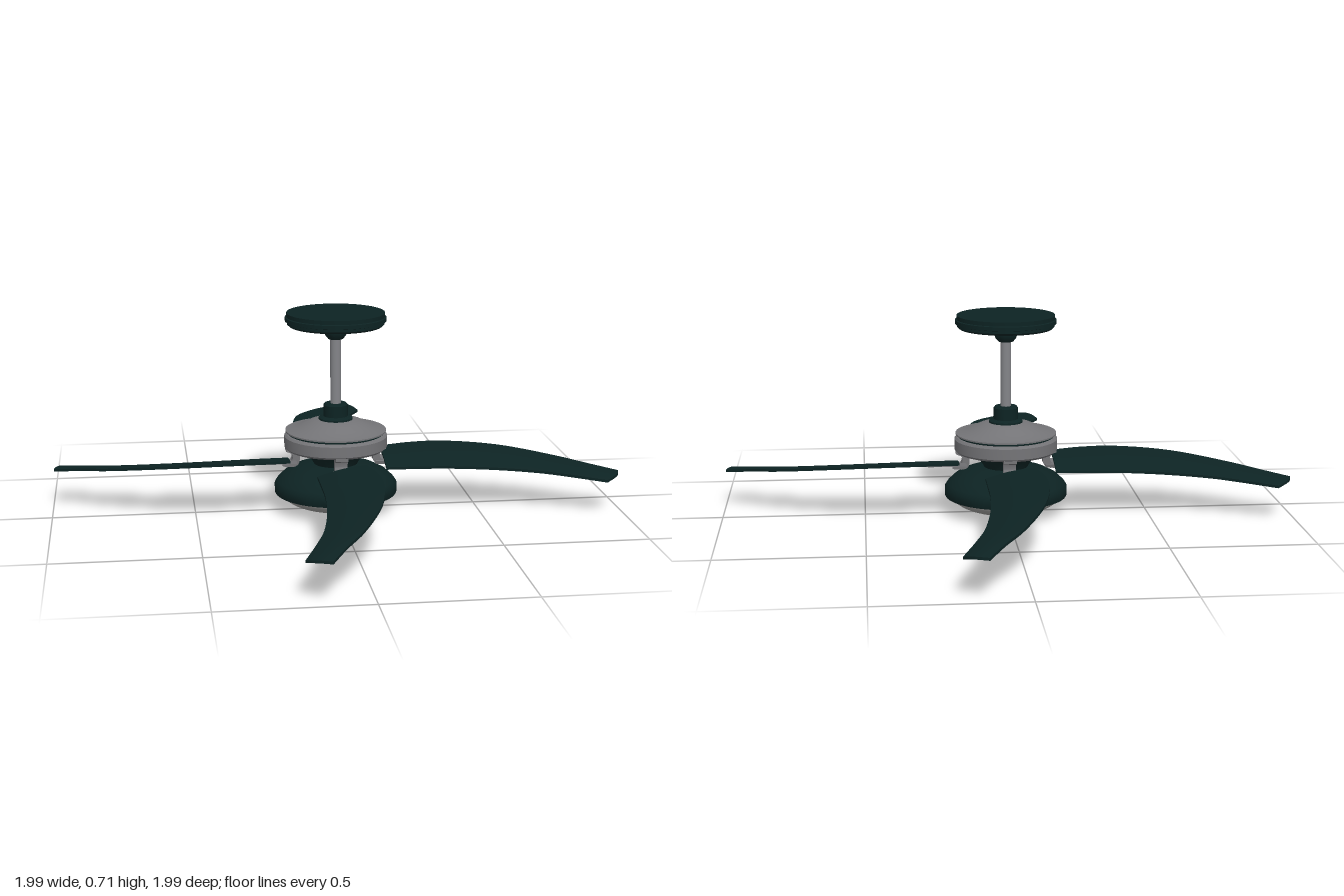
import * as THREE from 'three';
import { toCreasedNormals } from 'three/addons/utils/BufferGeometryUtils.js';

const mat = (name, color, side = THREE.FrontSide) => {
  const m = new THREE.MeshStandardMaterial({ color, side });
  m.name = name;
  return m;
};

function add(parent, name, geometry, material) {
  const mesh = new THREE.Mesh(geometry, material);
  mesh.name = name;
  parent.add(mesh);
  return mesh;
}

// Turned part from [radius, height] pairs, listed bottom to top
function turned(profile, segments = 64) {
  const pts = profile.map(([r, y]) => new THREE.Vector2(r, y));
  return toCreasedNormals(new THREE.LatheGeometry(pts, segments), 0.6);
}

const curve = (pts) => new THREE.CatmullRomCurve3(pts.map((p) => new THREE.Vector3(...p)));

// Swept, pitched blade pointing along +x, lofted between two edge curves
function bladeGeometry() {
  const high = curve([[0.17, 0.2, -0.085], [0.28, 0.204, -0.105], [0.4, 0.204, -0.11], [0.6, 0.192, -0.075],
    [0.8, 0.167, 0.015], [0.9, 0.153, 0.08], [0.995, 0.139, 0.135]]);
  const low = curve([[0.17, 0.165, 0.085], [0.28, 0.164, 0.085], [0.4, 0.161, 0.086], [0.56, 0.154, 0.1],
    [0.72, 0.144, 0.13], [0.82, 0.136, 0.165], [0.935, 0.126, 0.212]]);
  const N = 32, M = 8, ring = 2 * (M + 1), thick = 0.009;
  const pos = [], idx = [];
  for (let i = 0; i <= N; i++) {
    const t = i / N, a = high.getPoint(t), b = low.getPoint(t);
    const row = [];
    for (let j = 0; j <= M; j++) {
      const v = j / M, s = Math.sin(Math.PI * v);
      const p = a.clone().lerp(b, v);
      const bulge = 0.014 * s * Math.pow(t, 14);
      row.push([p.x + 0.8 * bulge, p.y + 0.006 * s, p.z + 0.6 * bulge]);
    }
    row.forEach((p) => pos.push(...p));
    row.reverse().forEach(([x, y, z]) => pos.push(x, y - thick, z));
  }
  for (let i = 0; i < N; i++) {
    for (let j = 0; j < ring; j++) {
      const a = i * ring + j, b = i * ring + (j + 1) % ring;
      idx.push(a, b, a + ring, b, b + ring, a + ring);
    }
  }
  // Root and tip end faces
  for (let k = 0; k < M; k++) {
    const e = N * ring, u = ring - 1 - k;
    idx.push(e + k, e + k + 1, e + u, e + k + 1, e + u - 1, e + u);
    idx.push(k, u, k + 1, k + 1, u, u - 1);
  }
  const g = new THREE.BufferGeometry();
  g.setAttribute('position', new THREE.Float32BufferAttribute(pos, 3));
  g.setIndex(idx);
  return toCreasedNormals(g, 0.7);
}

// Curved stem dropping from the motor to the blade
function stemGeometry() {
  const s = new THREE.Shape();
  s.moveTo(0.13, 0.235);
  s.lineTo(0.13, 0.19);
  s.quadraticCurveTo(0.13, 0.16, 0.16, 0.16);
  s.lineTo(0.19, 0.163);
  s.lineTo(0.19, 0.177);
  s.lineTo(0.17, 0.177);
  s.quadraticCurveTo(0.155, 0.177, 0.155, 0.195);
  s.lineTo(0.158, 0.208);
  s.lineTo(0.178, 0.216);
  s.lineTo(0.178, 0.235);
  const g = new THREE.ExtrudeGeometry(s, { depth: 0.044, bevelEnabled: false });
  g.translate(0, 0, -0.022);
  return toCreasedNormals(g, 0.6);
}

// Tapered plate that carries the blade from below
function plateGeometry() {
  const s = new THREE.Shape();
  s.moveTo(0.14, -0.024);
  s.lineTo(0.2, -0.034);
  s.lineTo(0.27, -0.022);
  s.quadraticCurveTo(0.295, 0, 0.27, 0.022);
  s.lineTo(0.2, 0.034);
  s.lineTo(0.14, 0.024);
  const g = new THREE.ExtrudeGeometry(s, { depth: 0.012, bevelEnabled: false });
  g.rotateX(-Math.PI / 2);
  return g;
}

export function createModel() {
  const fan = new THREE.Group();
  fan.name = 'ceilingFan';
  const dark = mat('dark green', 0x0d2323);
  const grey = mat('motor grey', 0x747477);
  const steel = mat('rod steel', 0x838488);
  const glass = mat('lamp glass', 0x969694);

  // Ceiling mount and hanging rod
  add(fan, 'canopy', turned([[0, 0.648], [0.05, 0.648], [0.162, 0.661], [0.17, 0.668], [0.17, 0.677],
    [0.177, 0.679], [0.177, 0.692], [0.172, 0.694], [0.172, 0.708], [0, 0.708]]), dark);
  add(fan, 'canopyCup', turned([[0, 0.614], [0.026, 0.614], [0.036, 0.626], [0.041, 0.64], [0.041, 0.655]], 32), dark);
  add(fan, 'rod', new THREE.CylinderGeometry(0.019, 0.019, 0.27, 24).translate(0, 0.495, 0), steel);
  add(fan, 'rodCollar', turned([[0.06, 0.315], [0.06, 0.332], [0.043, 0.338], [0.043, 0.378],
    [0.038, 0.384], [0, 0.384]], 32), dark);

  // Motor housing
  add(fan, 'motorHousing', turned([[0, 0.218], [0.15, 0.218], [0.174, 0.222], [0.182, 0.23], [0.182, 0.268],
    [0.175, 0.275], [0.166, 0.276], [0.166, 0.283], [0.178, 0.284], [0.178, 0.289], [0.155, 0.292],
    [0.125, 0.304], [0.095, 0.318], [0.072, 0.326], [0, 0.326]]), grey);
  add(fan, 'motorBand', turned([[0.167, 0.2755], [0.17, 0.277], [0.17, 0.282], [0.167, 0.2835]]), dark);

  // Neck and lamp housing
  add(fan, 'neck', turned([[0.07, 0.15], [0.082, 0.175], [0.1, 0.2], [0.112, 0.21], [0.112, 0.219]]), dark);
  add(fan, 'lampHousing', turned([[0, 0.062], [0.215, 0.062], [0.217, 0.066], [0.217, 0.094], [0.208, 0.108],
    [0.185, 0.13], [0.15, 0.149], [0.11, 0.162], [0.075, 0.167], [0, 0.167]]), dark);
  const bowl = [];
  for (let i = 0; i <= 12; i++) {
    const a = (i / 12) * Math.PI / 2;
    bowl.push([0.192 * Math.sin(a), 0.063 * (1 - Math.cos(a))]);
  }
  add(fan, 'lampBowl', turned(bowl), glass);

  // Four blades with their brackets
  const blade = bladeGeometry(), stem = stemGeometry(), plate = plateGeometry();
  for (let k = 0; k < 4; k++) {
    const arm = new THREE.Group();
    arm.name = 'bladeArm' + (k + 1);
    add(arm, 'blade', blade, dark);
    add(arm, 'bracketStem', stem, grey);
    const foot = add(arm, 'bracketPlate', plate, grey);
    foot.position.y = 0.167;
    foot.rotation.x = 0.2;
    arm.rotation.y = k * Math.PI / 2;
    fan.add(arm);
  }
  return fan;
}
